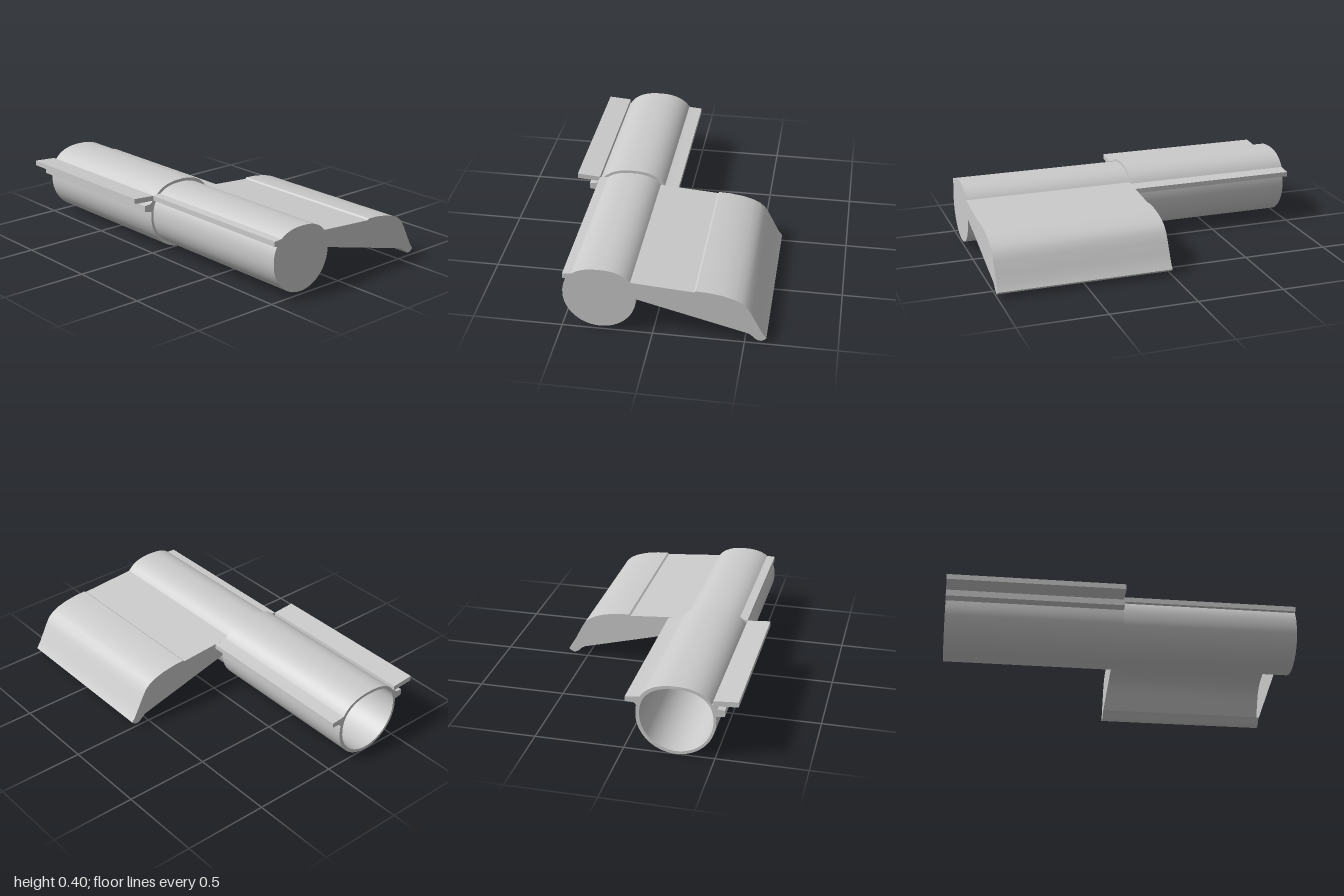
import * as THREE from 'three';
import { toCreasedNormals } from 'three/addons/utils/BufferGeometryUtils.js';

const material = new THREE.MeshStandardMaterial({ color: 0xcccccc, side: THREE.DoubleSide });

// Round section with a slightly flattened, fuller top; angles in degrees, walked clockwise
function arc(cx, r, ry, from, to) {
  const points = [];
  const n = Math.ceil(Math.abs(to - from) / 5);
  for (let i = 0; i <= n; i++) {
    const t = THREE.MathUtils.degToRad(from + (to - from) * i / n);
    const c = Math.cos(t), s = Math.sin(t);
    const e = s > 0 ? 2 / 2.4 : 1;
    points.push([
      cx + r * Math.sign(c) * Math.abs(c) ** e,
      0.22 + (s > 0 ? ry : r) * Math.sign(s) * Math.abs(s) ** e,
    ]);
  }
  return points;
}

// Wall swept along z from a clockwise profile
function wall(name, points, z0, z1) {
  const pos = [];
  for (let i = 0; i < points.length - 1; i++) {
    const a = points[i], b = points[i + 1];
    pos.push(...a, z0, ...b, z1, ...b, z0, ...a, z0, ...a, z1, ...b, z1);
  }
  const geometry = new THREE.BufferGeometry();
  geometry.setAttribute('position', new THREE.Float32BufferAttribute(pos, 3));
  const mesh = new THREE.Mesh(toCreasedNormals(geometry, 0.5), material);
  mesh.name = name;
  return mesh;
}

// Flat end face, facing +z or -z
function cap(name, points, z, facing, hole) {
  const toVectors = (list) => list.map(([x, y]) => new THREE.Vector2(x, y));
  const shape = new THREE.Shape(toVectors(points));
  if (hole) shape.holes.push(new THREE.Path(toVectors(hole)));
  const geometry = new THREE.ShapeGeometry(shape);
  if (facing < 0) {
    geometry.index.array.reverse();
    geometry.attributes.normal.array.forEach((v, i, list) => { list[i] = -v; });
  }
  const mesh = new THREE.Mesh(geometry, material);
  mesh.position.z = z;
  mesh.name = name;
  return mesh;
}

export function createModel() {
  const model = new THREE.Group();
  model.name = 'hingedProfile';

  // Front half: rod with a small ledge and a curved wing, open along the wing's flat underside
  const wing = [
    [0.225, 0.30], [0.235, 0.308], [0.30, 0.305], [0.38, 0.293], [0.44, 0.275],
    [0.48, 0.255], [0.51, 0.228], [0.535, 0.186], [0.57, 0.118], [0.595, 0.07],
    [0.617, 0.04], [0.605, 0.028], [0.59, 0.02], [0.575, 0.021], [0.555, 0.032],
    [0.535, 0.052], [0.515, 0.063],
  ];
  const ledge = [[-0.484, 0.318], [-0.484, 0.347]];
  const body = [
    ...arc(-0.288, 0.2, 0.17, 0, -210.3),
    ...ledge,
    ...arc(-0.288, 0.2, 0.17, -226.5, -325.9),
    ...wing,
  ];
  const front = new THREE.Group();
  front.name = 'rodAndWing';
  front.add(
    wall('rodAndWingSkin', body, 0, 1),
    cap('frontEnd', body, 1, 1),
    cap('rearEnd', body, 0, -1),
  );

  // Rear half: tube with a lip and long flange on one side, a short flange on the other
  const lipAndFlange = [
    [-0.507, 0.255], [-0.548, 0.262], [-0.548, 0.298], [-0.508, 0.302], [-0.49, 0.318],
    [-0.62, 0.327], [-0.62, 0.357], [-0.485, 0.347], [-0.484, 0.324],
  ];
  const shortFlange = [
    [-0.07, 0.321], [-0.01, 0.316], [-0.01, 0.288], [-0.055, 0.287], [-0.066, 0.281],
  ];
  const outer = [
    ...arc(-0.285, 0.218, 0.187, 11.8, -187.7),
    ...lipAndFlange,
    ...arc(-0.285, 0.218, 0.187, -210, -330.3),
    ...shortFlange,
  ];
  const bore = arc(-0.288, 0.2, 0.17, 0, 360);
  const rear = new THREE.Group();
  rear.name = 'flangedTube';
  rear.add(
    wall('tubeSkin', [...outer, outer[0]], -1, 0),
    wall('tubeBore', bore, -1, 0),
    cap('tubeFrontRim', outer, 0, 1, bore.slice(0, -1)),
    cap('tubeRearRim', outer, -1, -1, bore.slice(0, -1)),
  );

  model.add(front, rear);
  return model;
}
